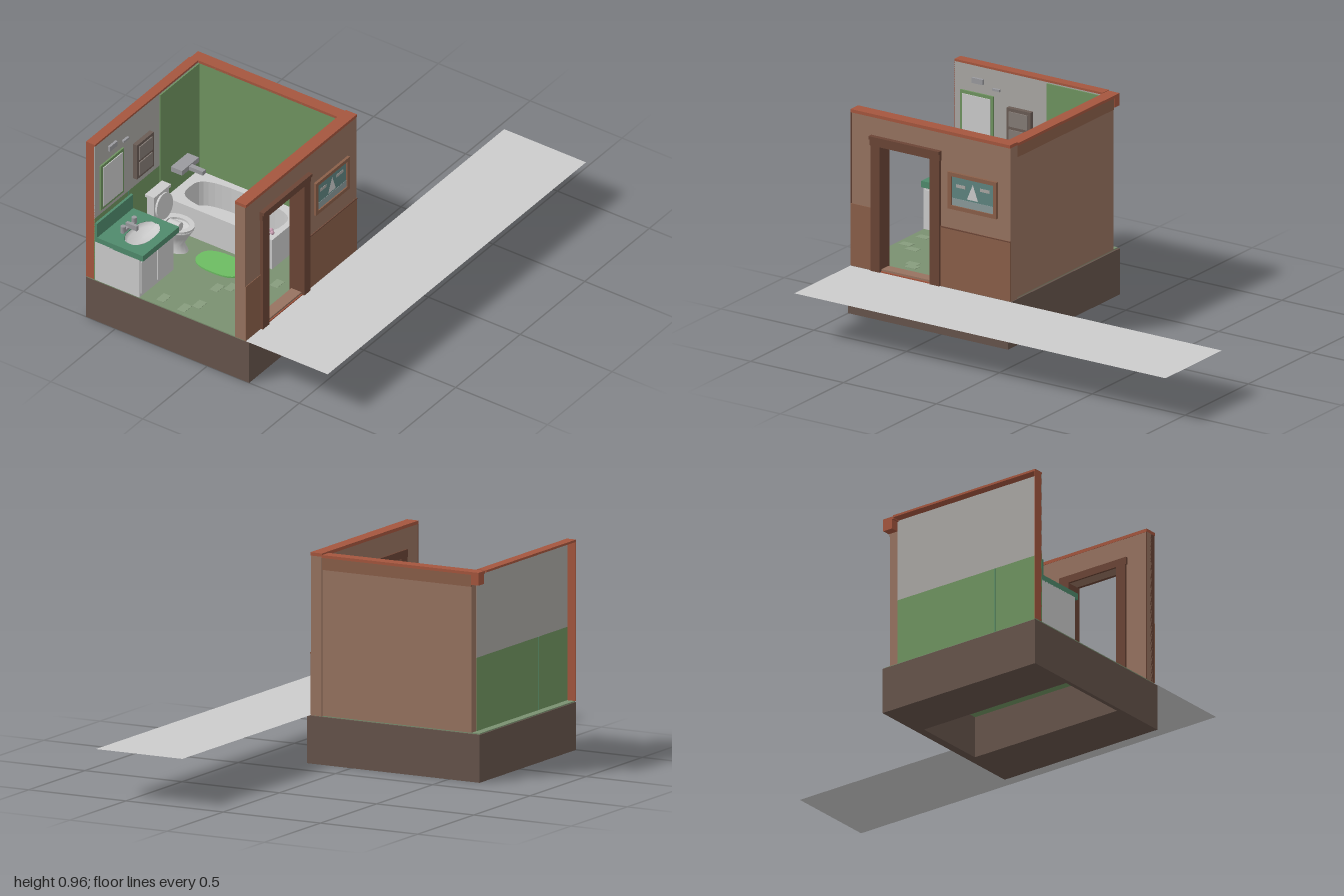
import * as THREE from 'three';

export function createModel() {
  const root = new THREE.Group();
  root.name = 'bathroomRoom';
  const C = {
    grey: 0xcccccc, base: 0x66544b, wall: 0x977360, panel: 0x8a5f49, trim: 0xa5563e, frame: 0x6b4536,
    floor: 0x7a9070, green: 0x6f9460, teal: 0x4f8a6c, tile: 0xaaa8a4, white: 0xc4c8c4, metal: 0x9a9a9e, dark: 0x6a5c55,
  };
  const mats = {};
  const mat = (c, flat = true) => (mats[c + '_' + flat] ??= new THREE.MeshStandardMaterial({ color: c, side: THREE.DoubleSide, flatShading: flat }));
  const add = (name, geo, c, parent = root, flat = true) => {
    const m = new THREE.Mesh(geo, mat(c, flat));
    m.name = name;
    parent.add(m);
    return m;
  };
  const group = (name) => {
    const g = new THREE.Group();
    g.name = name;
    root.add(g);
    return g;
  };
  // Box given by its limits
  const box = (name, c, x0, x1, y0, y1, z0, z1, parent = root) => {
    const m = add(name, new THREE.BoxGeometry(x1 - x0, y1 - y0, z1 - z0), c, parent);
    m.position.set((x0 + x1) / 2, (y0 + y1) / 2, (z0 + z1) / 2);
    return m;
  };
  const rect = (T, x0, x1, y0, y1) => new T([[x0, y0], [x1, y0], [x1, y1], [x0, y1]].map((p) => new THREE.Vector2(...p)));
  const oval = (T, cx, cy, rx, ry, power = 1) => {
    const pts = [];
    for (let i = 0; i < 32; i++) {
      const a = (i / 32) * Math.PI * 2, c = Math.cos(a), s = Math.sin(a);
      pts.push(new THREE.Vector2(cx + rx * Math.sign(c) * Math.abs(c) ** power, cy + ry * Math.sign(s) * Math.abs(s) ** power));
    }
    return new T(pts);
  };
  // Plan shape (x, -z) raised from y0 to y1
  const slab = (name, c, shape, y0, y1, parent = root) => {
    const g = new THREE.ExtrudeGeometry(shape, { depth: y1 - y0, bevelEnabled: false });
    const m = add(name, g.rotateX(-Math.PI / 2), c, parent);
    m.position.y = y0;
    return m;
  };
  // Loft through stacked ovals [y, centreZ, rx, rz]
  const loft = (name, c, rings, x, parent) => {
    const n = 20, pos = [], idx = [];
    rings.forEach(([y, cz, rx, rz], j) => {
      for (let i = 0; i <= n; i++) {
        const a = (i / n) * Math.PI * 2;
        pos.push(x + rx * Math.cos(a), y, cz + rz * Math.sin(a));
        if (j && i < n) {
          const p = (j - 1) * (n + 1) + i, q = p + n + 1;
          idx.push(p, q, p + 1, p + 1, q, q + 1);
        }
      }
    });
    const g = new THREE.BufferGeometry();
    g.setAttribute('position', new THREE.Float32BufferAttribute(pos, 3));
    g.setIndex(idx);
    g.computeVertexNormals();
    return add(name, g, c, parent, false);
  };

  // Hollow plinth, floor and the pavement in front
  const plinth = rect(THREE.Shape, -1, -0.14, -0.228, 0.66);
  plinth.holes.push(rect(THREE.Path, -0.98, -0.18, 0.04, 0.41));
  slab('plinth', C.base, plinth, 0, 0.2);
  box('plinthTop', C.base, -1, -0.14, 0.2, 0.217, -0.66, 0.228);
  box('floor', C.floor, -0.999, -0.15, 0.205, 0.222, -0.655, 0.2);
  box('floorUnderside', C.green, -0.98, -0.18, 0.197, 0.2, -0.41, -0.04);
  const pave = add('pavement', new THREE.PlaneGeometry(2, 0.445).rotateX(-Math.PI / 2), C.grey);
  pave.position.set(0, 0.22, 0.4325);
  [[-0.95, -0.16], [-0.89, -0.12], [-0.74, -0.13], [-0.7, -0.08], [-0.78, 0.04], [-0.76, 0.075], [-0.56, 0.07], [-0.94, -0.28]].forEach(([x, z]) =>
    box('floorTile', 0x879c7d, x - 0.03, x + 0.03, 0.22, 0.2235, z - 0.02, z + 0.02));

  // Front wall with doorway
  const front = rect(THREE.Shape, -1, -0.14, 0.22, 0.945);
  front.holes.push(rect(THREE.Path, -0.84, -0.56, 0.235, 0.815));
  const fw = add('frontWall', new THREE.ExtrudeGeometry(front, { depth: 0.055, bevelEnabled: false }), C.wall);
  fw.position.z = 0.152;
  box('frontWallCap', C.trim, -1, -0.14, 0.945, 0.96, 0.15, 0.21);
  box('wainscotLeft', C.panel, -1, -0.885, 0.222, 0.515, 0.205, 0.21);
  box('wainscotRight', C.panel, -0.515, -0.14, 0.222, 0.505, 0.205, 0.21);
  box('wainscotRail', C.frame, -0.515, -0.14, 0.5, 0.505, 0.205, 0.212);
  box('wallEnd', C.frame, -1, -0.995, 0.222, 0.945, 0.15, 0.208);
  box('innerSkirting', C.trim, -0.56, -0.2, 0.222, 0.25, 0.145, 0.153);
  const door = group('doorFrame');
  for (const [z0, z1] of [[0.205, 0.222], [0.142, 0.155]]) {
    box('doorJamb', C.frame, -0.885, -0.835, 0.222, 0.82, z0, z1, door);
    box('doorJamb', C.frame, -0.565, -0.515, 0.222, 0.82, z0, z1, door);
    box('doorHeader', C.frame, -0.89, -0.512, 0.815, 0.85, z0, z1, door);
  }
  box('doorCornice', C.frame, -0.89, -0.512, 0.845, 0.86, 0.205, 0.23, door);
  box('doorLining', C.frame, -0.842, -0.835, 0.222, 0.815, 0.15, 0.21, door);
  box('doorLining', C.frame, -0.565, -0.558, 0.222, 0.815, 0.15, 0.21, door);
  box('threshold', C.trim, -0.84, -0.56, 0.22, 0.226, 0.15, 0.212, door);

  // Framed sailing picture on the front wall
  const pic = group('picture');
  box('canvas', 0x5f8480, -0.46, -0.22, 0.61, 0.76, 0.205, 0.212, pic);
  for (const y of [0.6, 0.755]) box('pictureFrame', C.panel, -0.47, -0.208, y, y + 0.018, 0.205, 0.22, pic);
  for (const x of [-0.47, -0.226]) box('pictureFrame', C.panel, x, x + 0.018, 0.6, 0.773, 0.205, 0.22, pic);
  box('sea', 0x8a9a9a, -0.452, -0.226, 0.618, 0.652, 0.211, 0.2135, pic);
  box('cloud', C.tile, -0.43, -0.38, 0.705, 0.72, 0.211, 0.2135, pic);
  box('cloud', C.tile, -0.3, -0.25, 0.71, 0.725, 0.211, 0.2135, pic);
  const sail = new THREE.Shape([[-0.37, 0.66], [-0.31, 0.66], [-0.338, 0.735]].map((p) => new THREE.Vector2(...p)));
  add('sail', new THREE.ShapeGeometry(sail), C.grey, pic).position.z = 0.2145;

  // Back wall: an inner skin, with a cap and an end, open behind
  box('backWallUpper', C.tile, -1, -0.19, 0.555, 0.945, -0.617, -0.612);
  box('backWallLower', C.green, -1, -0.19, 0.222, 0.555, -0.617, -0.612);
  box('backTubTiles', C.green, -0.5, -0.2, 0.222, 0.94, -0.612, -0.606);
  box('backWallCap', C.trim, -1, -0.2, 0.945, 0.955, -0.66, -0.612);
  box('backWallEnd', C.trim, -1, -0.995, 0.222, 0.95, -0.66, -0.612);
  box('panelJoint', C.teal, -0.742, -0.738, 0.222, 0.555, -0.619, -0.61);

  // Side wall
  box('sideWall', C.wall, -0.19, -0.146, 0.222, 0.94, -0.615, 0.155);
  box('sideWallBand', C.panel, -0.15, -0.143, 0.885, 0.94, -0.615, 0.205);
  box('sideWallLining', C.green, -0.198, -0.188, 0.222, 0.945, -0.612, 0.152);
  box('sideWallCap', C.trim, -0.198, -0.14, 0.94, 0.953, -0.655, 0.152);
  box('cornerBlock', C.trim, -0.19, -0.14, 0.895, 0.94, -0.655, -0.615);

  // Vanity unit with sink, backsplash and taps
  const vanity = group('vanity');
  box('cabinet', C.white, -1, -0.735, 0.222, 0.43, -0.61, -0.37, vanity);
  const top = rect(THREE.Shape, -1, -0.72, 0.35, 0.61);
  top.holes.push(oval(THREE.Path, -0.855, 0.455, 0.1, 0.06, 0.8));
  slab('counter', C.teal, top, 0.425, 0.455, vanity);
  box('backsplash', C.teal, -1, -0.72, 0.455, 0.53, -0.612, -0.6, vanity);
  loft('basin', C.grey, [[0.455, -0.455, 0.103, 0.063], [0.436, -0.455, 0.09, 0.052], [0.432, -0.455, 0.001, 0.001]], -0.855, vanity);
  box('tapBar', C.metal, -0.91, -0.805, 0.455, 0.468, -0.535, -0.52, vanity);
  box('spout', C.metal, -0.865, -0.85, 0.46, 0.485, -0.54, -0.48, vanity);
  for (const x of [-0.9, -0.815]) {
    const t = add('tap', new THREE.CylinderGeometry(0.012, 0.012, 0.03, 10), C.metal, vanity, false);
    t.position.set(x, 0.475, -0.528);
  }
  for (const x of [-0.99, -0.862]) box('cabinetDoor', C.grey, x, x + 0.12, 0.24, 0.41, -0.37, -0.364, vanity);

  // Mirror, lamp and wall cabinet
  box('mirrorFrame', C.green, -0.965, -0.785, 0.58, 0.82, -0.612, -0.604);
  box('mirror', C.grey, -0.95, -0.8, 0.595, 0.805, -0.606, -0.6);
  box('lampPlate', C.metal, -0.9, -0.84, 0.865, 0.89, -0.612, -0.6);
  box('lampArm', C.metal, -0.79, -0.75, 0.85, 0.86, -0.612, -0.6);
  const cab = group('wallCabinet');
  box('cabinetFrame', C.dark, -0.705, -0.575, 0.605, 0.79, -0.612, -0.59, cab);
  for (const y of [0.62, 0.705]) box('cabinetPane', 0x857c76, -0.69, -0.59, y, y + 0.07, -0.592, -0.585, cab);

  // Toilet
  const toilet = group('toilet');
  box('tank', C.white, -0.65, -0.535, 0.365, 0.49, -0.575, -0.535, toilet);
  box('tankLid', C.grey, -0.658, -0.526, 0.488, 0.502, -0.58, -0.53, toilet);
  loft('bowl', C.white, [[0.222, -0.47, 0.045, 0.075], [0.26, -0.475, 0.035, 0.06], [0.3, -0.465, 0.045, 0.07], [0.34, -0.455, 0.066, 0.085], [0.35, -0.455, 0.066, 0.085],
    [0.345, -0.45, 0.042, 0.055], [0.31, -0.45, 0.025, 0.03], [0.305, -0.45, 0.001, 0.001]], -0.592, toilet);
  const seat = oval(THREE.Shape, -0.592, 0.455, 0.068, 0.088);
  seat.holes.push(oval(THREE.Path, -0.592, 0.448, 0.042, 0.056));
  slab('seat', C.white, seat, 0.35, 0.36, toilet);
  const lid = add('raisedLid', new THREE.CylinderGeometry(0.062, 0.062, 0.01, 24).rotateX(Math.PI / 2 - 0.12), C.white, toilet, false);
  lid.position.set(-0.592, 0.425, -0.522);
  const roll = add('paperRoll', new THREE.CylinderGeometry(0.021, 0.021, 0.06, 16).rotateX(Math.PI / 2), C.grey, root, false);
  roll.position.set(-0.695, 0.435, -0.39);

  // Bathtub with its fittings
  const tub = group('bathtub');
  const tubRim = rect(THREE.Shape, -0.482, -0.225, 0.012, 0.592);
  tubRim.holes.push(oval(THREE.Path, -0.355, 0.295, 0.098, 0.255, 0.6));
  slab('tubBody', C.white, tubRim, 0.222, 0.38, tub);
  slab('tubBottom', C.white, oval(THREE.Shape, -0.355, 0.295, 0.1, 0.257, 0.6), 0.235, 0.25, tub);
  box('showerBar', C.metal, -0.42, -0.29, 0.48, 0.505, -0.606, -0.545, tub);
  box('showerSpout', C.metal, -0.367, -0.343, 0.48, 0.5, -0.56, -0.47, tub);
  [[-0.46, -0.05], [-0.44, -0.04], [-0.425, -0.055]].forEach(([x, z]) => {
    const s = add('soap', new THREE.SphereGeometry(0.01, 8, 6), 0xc9a0b4, tub, false);
    s.position.set(x, 0.386, z);
  });

  // Bath mat
  slab('bathMat', 0x6cbc62, oval(THREE.Shape, -0.585, 0.215, 0.075, 0.125, 0.8), 0.222, 0.23);
  return root;
}
